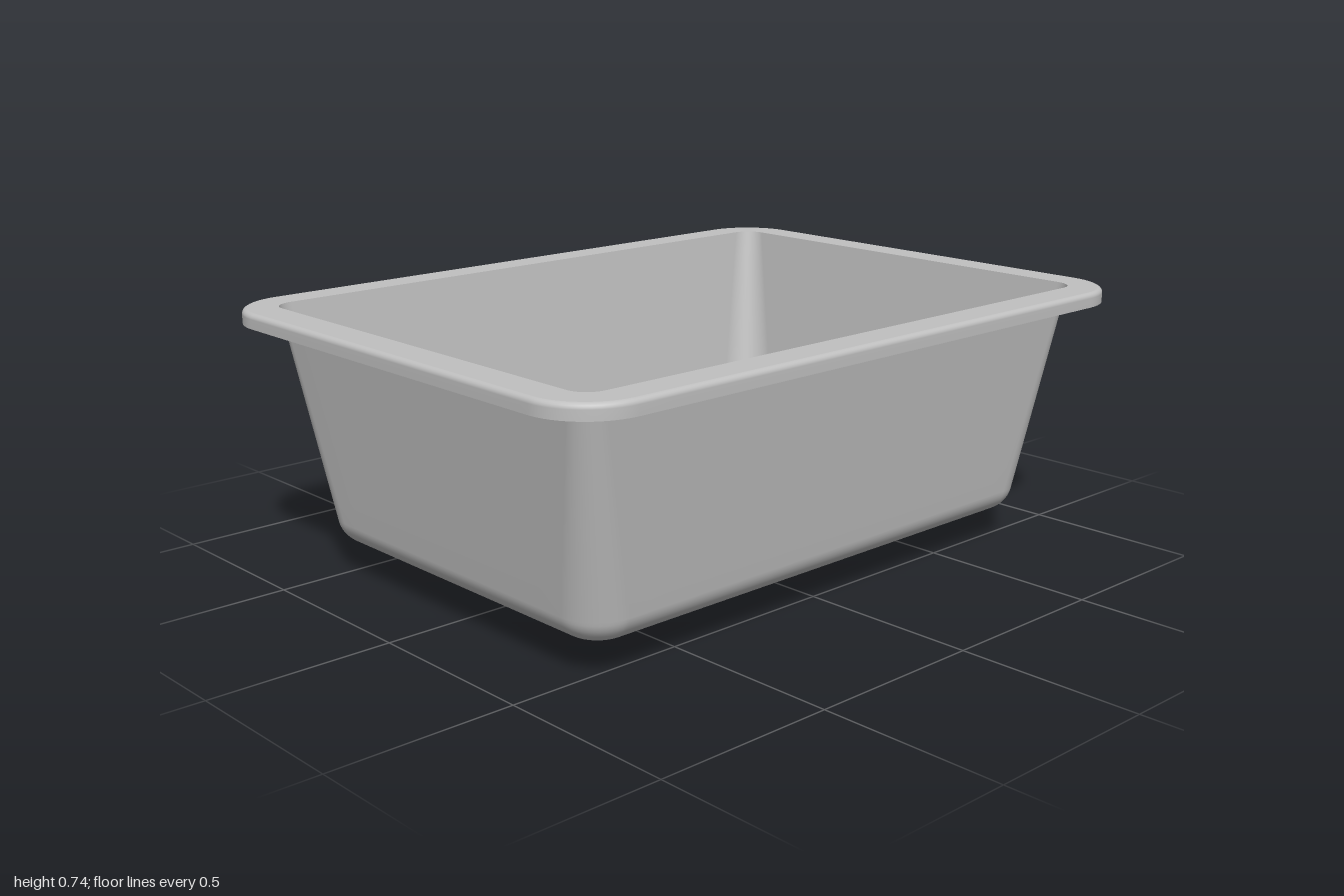
import * as THREE from 'three';

const steel = new THREE.MeshStandardMaterial({ color: 0xc0c0c0, side: THREE.DoubleSide });
steel.name = 'satin steel';

const DRAIN = { x: -0.25, z: 0, flange: 0.235, bore: 0.18 };
const CORNER_STEPS = 12, EDGE_STEPS = 12;

// Closed rounded-rectangle outline as [x, z] points, same count for every size
function outline(hx, hz, r) {
  const pts = [];
  const signs = [[1, 1], [-1, 1], [-1, -1], [1, -1]];
  const corner = (k, s) => {
    const [sx, sz] = signs[k % 4];
    const a = (k + s / CORNER_STEPS) * Math.PI / 2;
    return [sx * (hx - r) + r * Math.cos(a), sz * (hz - r) + r * Math.sin(a)];
  };
  for (let k = 0; k < 4; k++) {
    for (let s = 0; s <= CORNER_STEPS; s++) pts.push(corner(k, s));
    const a = corner(k, CORNER_STEPS), b = corner(k + 1, 0);
    for (let e = 1; e < EDGE_STEPS; e++) {
      const t = e / EDGE_STEPS;
      pts.push([a[0] + (b[0] - a[0]) * t, a[1] + (b[1] - a[1]) * t]);
    }
  }
  return pts;
}

const ring = (hx, hz, r, y) => outline(hx, hz, r).map(([x, z]) => [x, y, z]);

// Skin a list of closed rings
function loft(name, rings) {
  const n = rings[0].length, index = [];
  for (let j = 0; j < rings.length - 1; j++) {
    for (let i = 0; i < n; i++) {
      const a = j * n + i, b = j * n + (i + 1) % n;
      index.push(a, a + n, b, b, a + n, b + n);
    }
  }
  const g = new THREE.BufferGeometry();
  g.setAttribute('position', new THREE.Float32BufferAttribute(rings.flat(2), 3));
  g.setIndex(index);
  g.computeVertexNormals();
  const mesh = new THREE.Mesh(g, steel);
  mesh.name = name;
  return mesh;
}

// Floor height falls gently towards the drain
function floorHeight(x, z) {
  const d = Math.hypot(x - DRAIN.x, z - DRAIN.z) - DRAIN.flange;
  return 0.062 + 0.024 * Math.min(1, Math.max(0, d / 0.55));
}

function basinRings() {
  const rings = [], top = 0.74, base = 0.085, taper = 0.127, r = 0.08;
  const cy = base + r, a0 = Math.atan(taper);
  const cInset = taper * (top - cy) + r / Math.cos(a0);
  const wallEndY = cy - r * Math.sin(a0);
  const wallEnd = cInset - r * Math.cos(a0);

  // tapered walls, corners opening out downwards
  for (let i = 0; i < 8; i++) {
    const t = i / 8;
    rings.push(ring(0.65 - wallEnd * t, 0.9 - wallEnd * t, 0.06 + 0.055 * t,
      top + (wallEndY - top) * t));
  }
  // rounded turn into the floor
  for (let i = 0; i <= 12; i++) {
    const t = i / 12, a = a0 + (Math.PI / 2 - a0) * t;
    const inset = cInset - r * Math.cos(a);
    const y = cy - r * Math.sin(a);
    rings.push(outline(0.65 - inset, 0.9 - inset, 0.115 - (inset - wallEnd))
      .map(([x, z]) => [x, y + (floorHeight(x, z) - base) * t * t, z]));
  }
  // floor closing in on the drain opening
  const edge = rings[rings.length - 1];
  for (let i = 1; i <= 10; i++) {
    const t = i / 10;
    rings.push(edge.map(([x, , z]) => {
      const a = Math.atan2(z - DRAIN.z, x - DRAIN.x), q = DRAIN.flange - 0.003;
      const px = x + (DRAIN.x + q * Math.cos(a) - x) * t;
      const pz = z + (DRAIN.z + q * Math.sin(a) - z) * t;
      return [px, floorHeight(px, pz), pz];
    }));
  }
  return rings;
}

function lathe(name, points) {
  const g = new THREE.LatheGeometry(points.map(([r, y]) => new THREE.Vector2(r, y)), 64);
  const mesh = new THREE.Mesh(g, steel);
  mesh.name = name;
  mesh.position.set(DRAIN.x, 0, DRAIN.z);
  return mesh;
}

export function createModel() {
  const sink = new THREE.Group();
  sink.name = 'sink';

  // rim: underside, softened outer edge, flat top
  const edge = [ring(0.75, 1, 0.17, 0.7)];
  const soft = 0.014;
  for (let i = 0; i <= 5; i++) {
    const a = i / 5 * Math.PI / 2, k = soft * (1 - Math.cos(a));
    edge.push(ring(0.75 - k, 1 - k, 0.17 - k, 0.74 - soft + soft * Math.sin(a)));
  }
  sink.add(
    loft('rimUnderside', [ring(0.645, 0.895, 0.06, 0.7), edge[0]]),
    loft('rimEdge', edge),
    loft('rimTop', [edge[edge.length - 1], ring(0.65, 0.9, 0.06, 0.74)]),
    loft('basin', basinRings()),
  );

  // drain: recessed seat and open outlet pipe
  const { flange, bore } = DRAIN;
  sink.add(
    lathe('drainLip', [[flange, 0.062], [flange - 0.004, 0.054]]),
    lathe('drainSeat', [[flange - 0.004, 0.054], [bore, 0.044]]),
    lathe('drainPipe', [[bore, 0.044], [bore, 0]]),
  );
  return sink;
}
